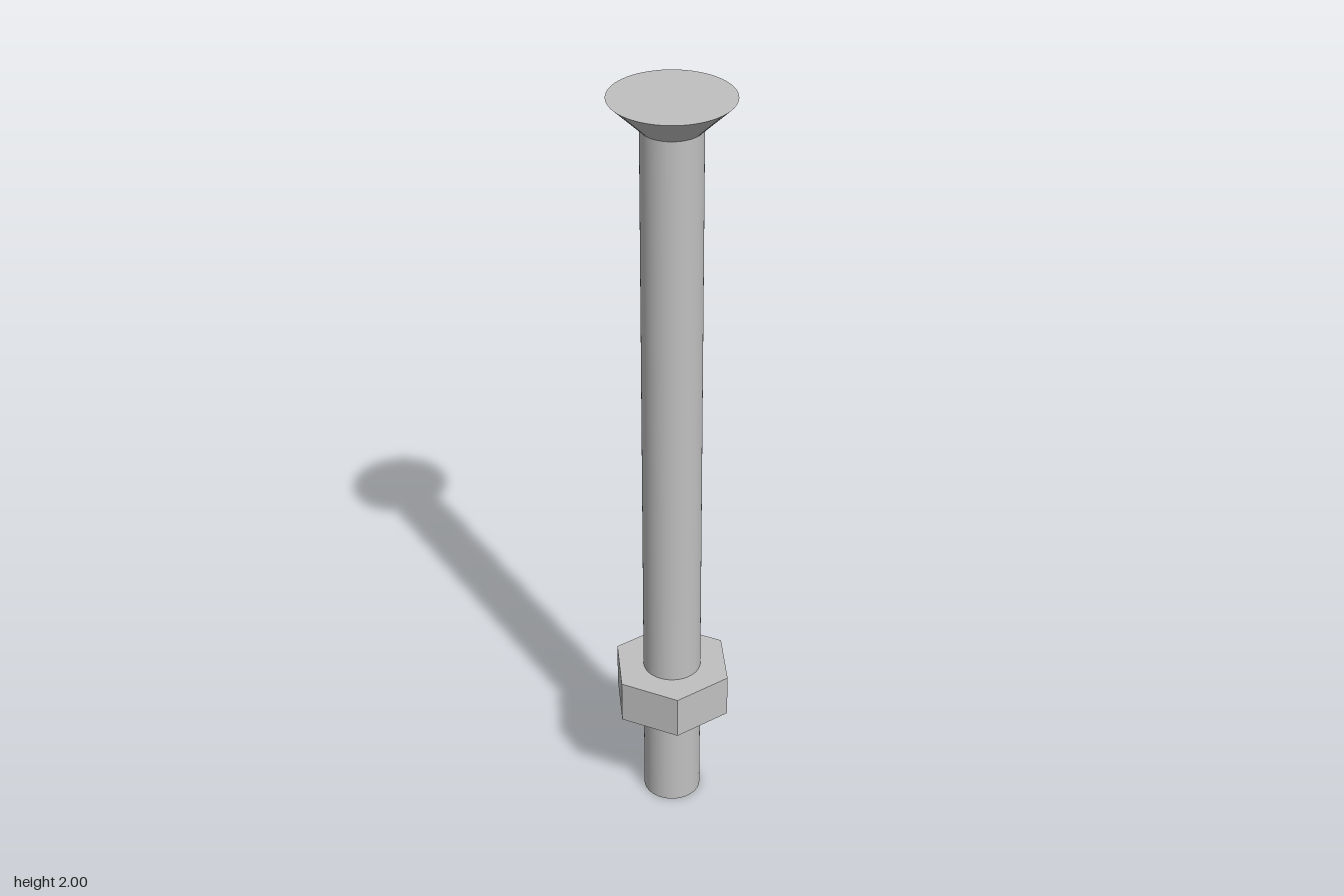
import * as THREE from 'three';

const SHAFT_R = 0.074, HEAD_R = 0.149, HEAD_Y = 1.926;
const NUT_R = 0.158, NUT_Y = 0.29, NUT_H = 0.117;
const SIDES = 64;

export function createModel() {
  const model = new THREE.Group();
  model.name = 'boltWithNut';
  const steel = new THREE.MeshStandardMaterial({ color: 0xc0c0c0 });
  steel.name = 'steel grey';

  const add = (name, geometry, y) => {
    const mesh = new THREE.Mesh(geometry, steel);
    mesh.name = name;
    mesh.position.y = y;
    model.add(mesh);
  };

  // Long plain shaft
  add('shaft', new THREE.CylinderGeometry(SHAFT_R, SHAFT_R, HEAD_Y, SIDES), HEAD_Y / 2);

  // Countersunk head with a flat top
  const headH = 2 - HEAD_Y;
  add('head', new THREE.CylinderGeometry(HEAD_R, SHAFT_R, headH, SIDES), HEAD_Y + headH / 2);

  // Hexagonal nut with corners on the x axis, bored for the shaft
  const hexagon = new THREE.Shape();
  for (let i = 0; i < 6; i++) {
    const a = (i * Math.PI) / 3;
    hexagon[i ? 'lineTo' : 'moveTo'](NUT_R * Math.cos(a), NUT_R * Math.sin(a));
  }
  hexagon.closePath();
  hexagon.holes.push(new THREE.Path().absarc(0, 0, SHAFT_R, 0, Math.PI * 2, true));
  const nut = new THREE.ExtrudeGeometry(hexagon, {
    depth: NUT_H, bevelEnabled: false, curveSegments: SIDES / 2,
  });
  nut.rotateX(-Math.PI / 2);
  add('nut', nut, NUT_Y);

  return model;
}
